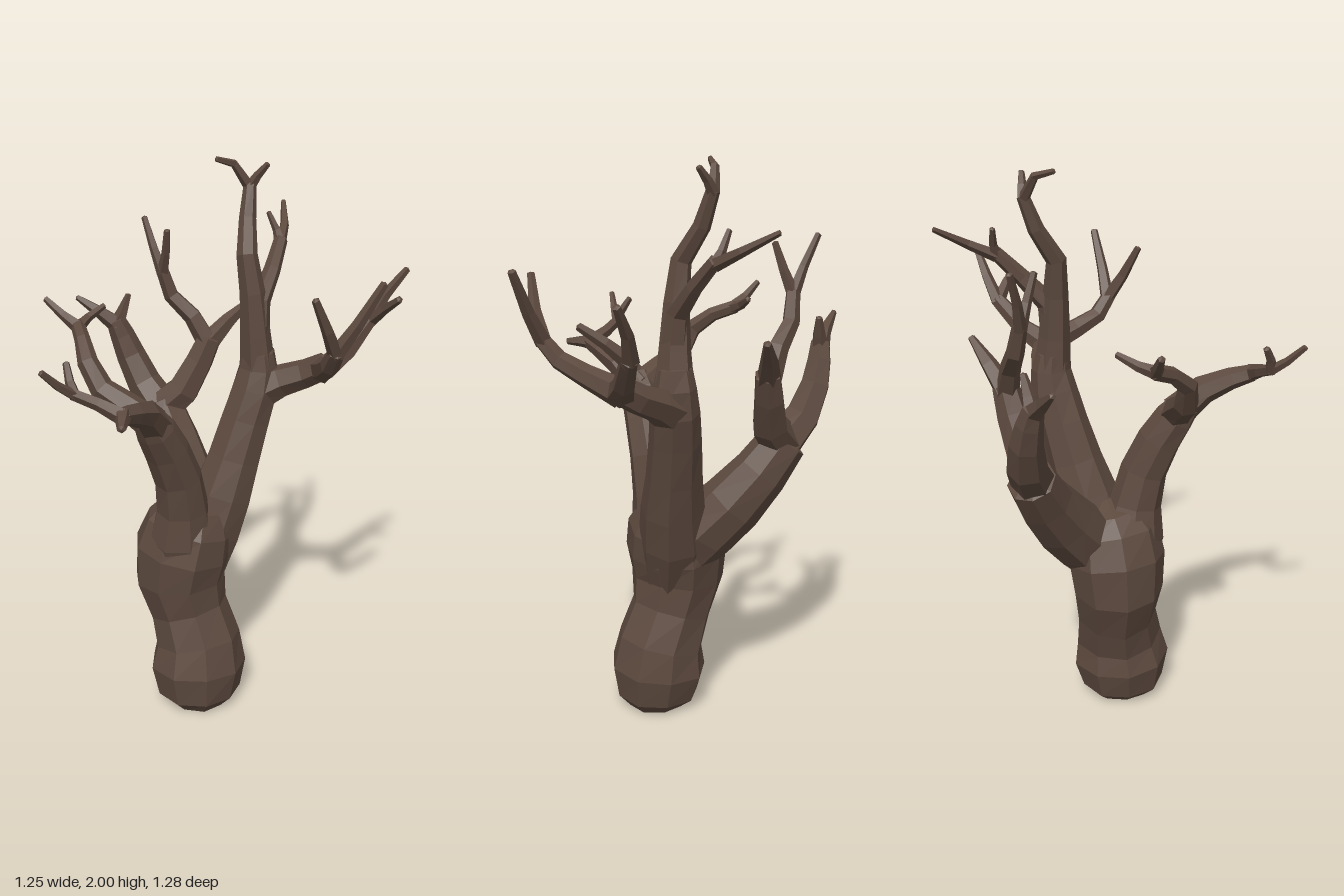
import * as THREE from 'three';

const bark = new THREE.MeshStandardMaterial({ color: 0x5c493e, flatShading: true });
bark.name = 'bark';

// Tapered closed tube through [x, y, z, radius] stations
function limb(name, stations, sides) {
  const pts = stations.map(s => new THREE.Vector3(s[0], s[1], s[2]));
  const n = pts.length, pos = [], idx = [];
  const normal = new THREE.Vector3(0, 0, 1), t = new THREE.Vector3(), b = new THREE.Vector3();
  for (let i = 0; i < n; i++) {
    t.subVectors(pts[Math.min(i + 1, n - 1)], pts[Math.max(i - 1, 0)]).normalize();
    normal.addScaledVector(t, -normal.dot(t));
    if (normal.lengthSq() < 0.02) normal.set(1, 0, 0).addScaledVector(t, -t.x);
    normal.normalize();
    b.crossVectors(t, normal);
    for (let j = 0; j < sides; j++) {
      const a = (j + 0.3) / sides * Math.PI * 2;
      const r = stations[i][3] * (1.05 + 0.03 * Math.sin(j * 2.4 + i * 0.9));
      const p = pts[i].clone().addScaledVector(normal, r * Math.cos(a)).addScaledVector(b, r * Math.sin(a));
      pos.push(p.x, p.y, p.z);
    }
  }
  for (let i = 0; i < n - 1; i++) for (let j = 0; j < sides; j++) {
    const k = (j + 1) % sides, a = i * sides, c = a + sides;
    idx.push(a + j, a + k, c + k, a + j, c + k, c + j);
  }
  // End caps, the far one slightly domed
  const first = pts[0], last = pts[n - 1].clone().addScaledVector(t, stations[n - 1][3] * 0.4);
  pos.push(first.x, first.y, first.z, last.x, last.y, last.z);
  for (let j = 0; j < sides; j++) {
    const k = (j + 1) % sides, e = (n - 1) * sides;
    idx.push(n * sides, k, j, n * sides + 1, e + j, e + k);
  }
  const g = new THREE.BufferGeometry();
  g.setAttribute('position', new THREE.Float32BufferAttribute(pos, 3));
  g.setIndex(idx);
  g.computeVertexNormals();
  const mesh = new THREE.Mesh(g, bark);
  mesh.name = name;
  return mesh;
}

export function createModel() {
  const tree = new THREE.Group();
  tree.name = 'bareTree';
  const add = (name, sides, ...stations) => tree.add(limb(name, stations, sides));

  add('trunk', 9, [0.055, 0.003, 0.012, 0.105], [0.055, 0.048, 0.012, 0.147], [0.048, 0.16, 0.008, 0.17],
    [0.04, 0.26, 0, 0.153], [-0.005, 0.38, 0.003, 0.142], [-0.035, 0.5, 0.015, 0.162],
    [-0.027, 0.62, 0.005, 0.175], [-0.008, 0.72, -0.012, 0.158], [0, 0.79, -0.03, 0.115], [0, 0.82, -0.035, 0.06]);

  // Right limb, forking into an outer and a rear branch
  add('rightLimb', 8, [0, 0.58, -0.05, 0.09], [-0.08, 0.71, -0.1, 0.115], [-0.165, 0.815, -0.155, 0.108],
    [-0.255, 0.93, -0.195, 0.093], [-0.335, 1.04, -0.215, 0.08]);
  add('rightOuterBranch', 6, [-0.32, 1.02, -0.21, 0.072], [-0.415, 1.115, -0.205, 0.062], [-0.47, 1.22, -0.19, 0.052],
    [-0.495, 1.3, -0.17, 0.043], [-0.51, 1.36, -0.15, 0.034]);
  add('rightOuterTwig', 5, [-0.505, 1.34, -0.155, 0.034], [-0.55, 1.39, -0.11, 0.024], [-0.62, 1.445, -0.06, 0.01]);
  add('rightOuterTwig', 5, [-0.505, 1.34, -0.155, 0.03], [-0.49, 1.39, -0.17, 0.022], [-0.475, 1.455, -0.19, 0.011]);
  add('rightRearBranch', 6, [-0.33, 1.03, -0.21, 0.07], [-0.255, 1.11, -0.255, 0.062], [-0.22, 1.22, -0.305, 0.052],
    [-0.195, 1.31, -0.335, 0.044]);
  add('rightRearTwig', 5, [-0.2, 1.29, -0.33, 0.04], [-0.16, 1.37, -0.4, 0.028], [-0.11, 1.445, -0.475, 0.012]);
  add('rightRearStem', 5, [-0.2, 1.29, -0.33, 0.04], [-0.25, 1.39, -0.3, 0.034], [-0.32, 1.465, -0.26, 0.029],
    [-0.34, 1.56, -0.235, 0.024]);
  add('rightTopTwig', 5, [-0.34, 1.55, -0.235, 0.022], [-0.38, 1.64, -0.23, 0.016], [-0.43, 1.745, -0.235, 0.011]);
  add('rightTopTwig', 5, [-0.34, 1.55, -0.235, 0.022], [-0.31, 1.63, -0.22, 0.016], [-0.285, 1.72, -0.2, 0.011]);

  // Front limb, forking sideways and forwards
  add('frontLimb', 8, [-0.005, 0.54, 0.025, 0.1], [0.005, 0.7, 0.055, 0.112], [0.022, 0.82, 0.065, 0.09],
    [0.03, 0.95, 0.095, 0.08], [0.03, 1.07, 0.15, 0.074], [0.03, 1.16, 0.205, 0.066], [0.028, 1.21, 0.24, 0.052]);
  add('frontSideBranch', 6, [0.03, 1.17, 0.205, 0.056], [-0.06, 1.225, 0.235, 0.046], [-0.16, 1.275, 0.265, 0.04],
    [-0.215, 1.36, 0.275, 0.033], [-0.28, 1.415, 0.235, 0.026], [-0.35, 1.445, 0.19, 0.024]);
  add('frontSideTwig', 5, [-0.34, 1.44, 0.195, 0.024], [-0.4, 1.475, 0.21, 0.017], [-0.465, 1.525, 0.23, 0.011]);
  add('frontSideTwig', 5, [-0.34, 1.44, 0.195, 0.022], [-0.35, 1.46, 0.14, 0.016], [-0.34, 1.49, 0.07, 0.01]);
  add('frontForwardBranch', 6, [0.03, 1.17, 0.205, 0.058], [0.07, 1.25, 0.295, 0.047], [0.105, 1.285, 0.385, 0.036],
    [0.125, 1.305, 0.46, 0.028]);
  add('frontForwardTwig', 5, [0.122, 1.305, 0.45, 0.028], [0.155, 1.305, 0.485, 0.021], [0.19, 1.3, 0.525, 0.013]);
  add('frontForwardStem', 5, [0.12, 1.305, 0.455, 0.027], [0.05, 1.335, 0.485, 0.021], [-0.015, 1.365, 0.53, 0.019]);
  add('frontForwardTip', 5, [-0.01, 1.36, 0.525, 0.019], [-0.03, 1.4, 0.525, 0.015], [-0.06, 1.45, 0.51, 0.011]);
  add('frontForwardTip', 5, [-0.01, 1.36, 0.525, 0.018], [-0.022, 1.4, 0.58, 0.014], [-0.035, 1.455, 0.635, 0.01]);

  // Rear limb
  add('rearLimb', 8, [0.01, 0.52, -0.025, 0.1], [0.025, 0.68, -0.075, 0.118], [0.05, 0.82, -0.12, 0.107],
    [0.065, 0.95, -0.165, 0.093], [0.08, 1.09, -0.21, 0.085], [0.095, 1.2, -0.243, 0.08], [0.1, 1.28, -0.255, 0.068],
    [0.1, 1.34, -0.25, 0.056]);

  // Crown stem and its twigs
  add('crownStem', 6, [0.1, 1.26, -0.252, 0.064], [0.095, 1.4, -0.24, 0.052], [0.085, 1.55, -0.23, 0.042],
    [0.065, 1.68, -0.22, 0.034], [0.02, 1.79, -0.275, 0.028], [0, 1.9, -0.31, 0.021]);
  add('crownTwig', 5, [0, 1.89, -0.31, 0.02], [-0.03, 1.97, -0.26, 0.014], [-0.05, 1.99, -0.19, 0.009]);
  add('crownTwig', 5, [0, 1.89, -0.31, 0.02], [0.025, 1.93, -0.32, 0.015], [0.06, 1.97, -0.33, 0.01]);
  add('crownRearBranch', 6, [0.1, 1.38, -0.24, 0.045], [0.095, 1.52, -0.26, 0.036], [0.08, 1.61, -0.345, 0.028],
    [0.05, 1.7, -0.43, 0.023]);
  add('crownRearTwig', 5, [0.05, 1.69, -0.425, 0.022], [0.005, 1.735, -0.51, 0.016], [-0.07, 1.795, -0.6, 0.009]);
  add('crownRearTwig', 5, [0.05, 1.69, -0.425, 0.02], [0.03, 1.73, -0.43, 0.014], [0, 1.79, -0.42, 0.009]);

  // Left branch, forking to the back and to the side
  add('leftBranch', 6, [0.095, 1.19, -0.245, 0.072], [0.18, 1.24, -0.29, 0.056], [0.26, 1.275, -0.32, 0.05],
    [0.33, 1.315, -0.33, 0.046]);
  add('leftRearBranch', 6, [0.32, 1.3, -0.33, 0.046], [0.35, 1.35, -0.43, 0.034], [0.375, 1.45, -0.535, 0.026]);
  add('leftRearTwig', 5, [0.37, 1.44, -0.53, 0.026], [0.4, 1.53, -0.58, 0.019], [0.45, 1.62, -0.63, 0.012]);
  add('leftRearTwig', 5, [0.37, 1.44, -0.53, 0.025], [0.44, 1.5, -0.515, 0.018], [0.51, 1.55, -0.49, 0.012]);
  add('leftSideBranch', 6, [0.32, 1.3, -0.33, 0.046], [0.4, 1.345, -0.235, 0.036], [0.46, 1.385, -0.165, 0.031],
    [0.505, 1.45, -0.13, 0.026]);
  add('leftSideTwig', 5, [0.5, 1.44, -0.135, 0.026], [0.555, 1.54, -0.165, 0.02], [0.615, 1.675, -0.21, 0.013]);
  add('leftSideTwig', 5, [0.5, 1.44, -0.135, 0.025], [0.505, 1.53, -0.075, 0.019], [0.495, 1.64, -0.015, 0.012]);

  return tree;
}
